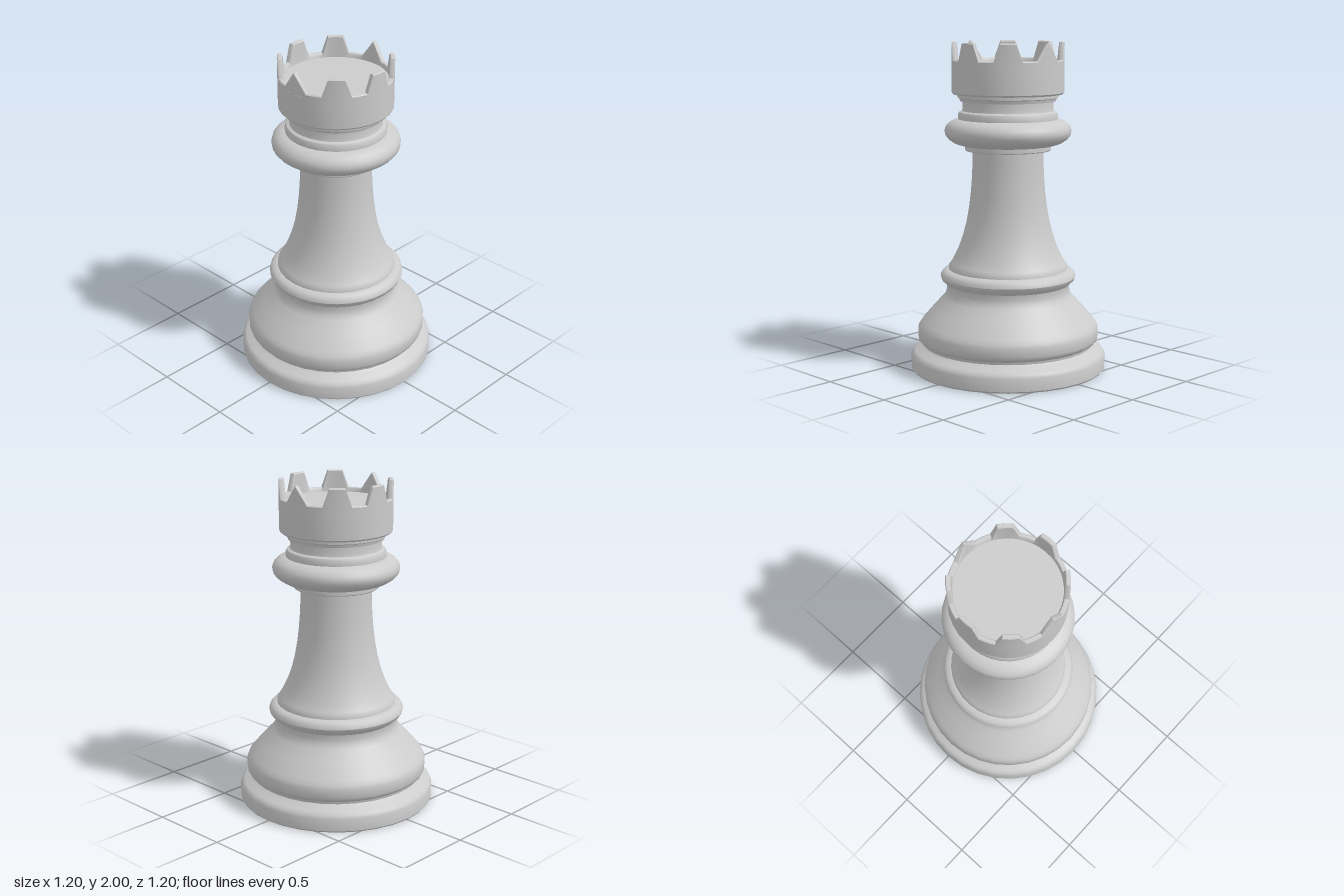
import * as THREE from 'three';
import { toCreasedNormals } from 'three/addons/utils/BufferGeometryUtils.js';

const material = new THREE.MeshStandardMaterial({ color: 0xcccccc });
const SIDES = 32;
const FLOOR = 1.87, NOTCH = 1.895, TOP = 2;

function addLathe(group, name, points) {
  const profile = points.map(([r, y]) => new THREE.Vector2(r, y));
  const geometry = toCreasedNormals(new THREE.LatheGeometry(profile, SIDES), 0.65);
  const mesh = new THREE.Mesh(geometry, material);
  mesh.name = name;
  group.add(mesh);
}

// Ring of eight tapered teeth; the two side teeth come to a point
function battlements() {
  const columns = [];
  for (let i = 0; i < 8; i++) {
    const half = i % 4 === 2 ? 0.6 : 8;
    const steps = [[-22.5, NOTCH], [-14.5, NOTCH], [-half, TOP], [0, TOP], [half, TOP], [14.5, NOTCH]];
    for (const [offset, y] of steps) {
      columns.push([THREE.MathUtils.degToRad(i * 45 + offset), y]);
    }
  }
  const positions = [], index = [];
  const rows = 6;
  for (const [a, y] of columns) {
    // cross-section: up the outside, over a softened rim, down the inside
    const section = [[0.34, FLOOR], [0.34, y - 0.006], [0.335, y], [0.316, y], [0.311, y - 0.006], [0.306, FLOOR]];
    for (const [r, h] of section) positions.push(r * Math.sin(a), h, r * Math.cos(a));
  }
  const n = columns.length;
  for (let i = 0; i < n; i++) {
    for (let j = 0; j < rows - 1; j++) {
      const a = i * rows + j, b = ((i + 1) % n) * rows + j;
      index.push(a, b, b + 1, a, b + 1, a + 1);
    }
  }
  const geometry = new THREE.BufferGeometry();
  geometry.setAttribute('position', new THREE.Float32BufferAttribute(positions, 3));
  geometry.setIndex(index);
  return toCreasedNormals(geometry, 0.65);
}

export function createModel() {
  const group = new THREE.Group();
  group.name = 'rook';

  // Foot ring and bell-shaped base
  addLathe(group, 'base', [
    [0, 0], [0.592, 0], [0.6, 0.01], [0.6, 0.085], [0.592, 0.105], [0.575, 0.12],
    [0.54, 0.135], [0.522, 0.15], [0.525, 0.165], [0.548, 0.18], [0.556, 0.2], [0.556, 0.255],
    [0.548, 0.275], [0.53, 0.3], [0.46, 0.38], [0.4, 0.445], [0.383, 0.47], [0.376, 0.5],
    [0.38, 0.53], [0.405, 0.552], [0.415, 0.575], [0.41, 0.595], [0.395, 0.612], [0.365, 0.622], [0, 0.622],
  ]);

  // Flared column
  addLathe(group, 'column', [
    [0.365, 0.62], [0.362, 0.645], [0.35, 0.66], [0.325, 0.705], [0.3, 0.76], [0.275, 0.83],
    [0.254, 0.91], [0.238, 1.0], [0.227, 1.09], [0.22, 1.18], [0.216, 1.27], [0.215, 1.352],
  ]);

  // Rounded collar with stepped rings above and below
  addLathe(group, 'collar', [
    [0.2, 1.35], [0.258, 1.35], [0.262, 1.355], [0.262, 1.38], [0.29, 1.384], [0.325, 1.395],
    [0.36, 1.418], [0.38, 1.443], [0.385, 1.468], [0.378, 1.495], [0.355, 1.52], [0.325, 1.535],
    [0.303, 1.54], [0.303, 1.565], [0.295, 1.582], [0.278, 1.59], [0.274, 1.605], [0.274, 1.652],
  ]);

  // Crown drum with a flat floor inside the teeth
  addLathe(group, 'crown', [
    [0.26, 1.648], [0.29, 1.648], [0.295, 1.665], [0.305, 1.67], [0.305, 1.69],
    [0.332, 1.69], [0.34, 1.7], [0.34, FLOOR], [0, FLOOR],
  ]);

  const teeth = new THREE.Mesh(battlements(), material);
  teeth.name = 'battlements';
  group.add(teeth);

  return group;
}
